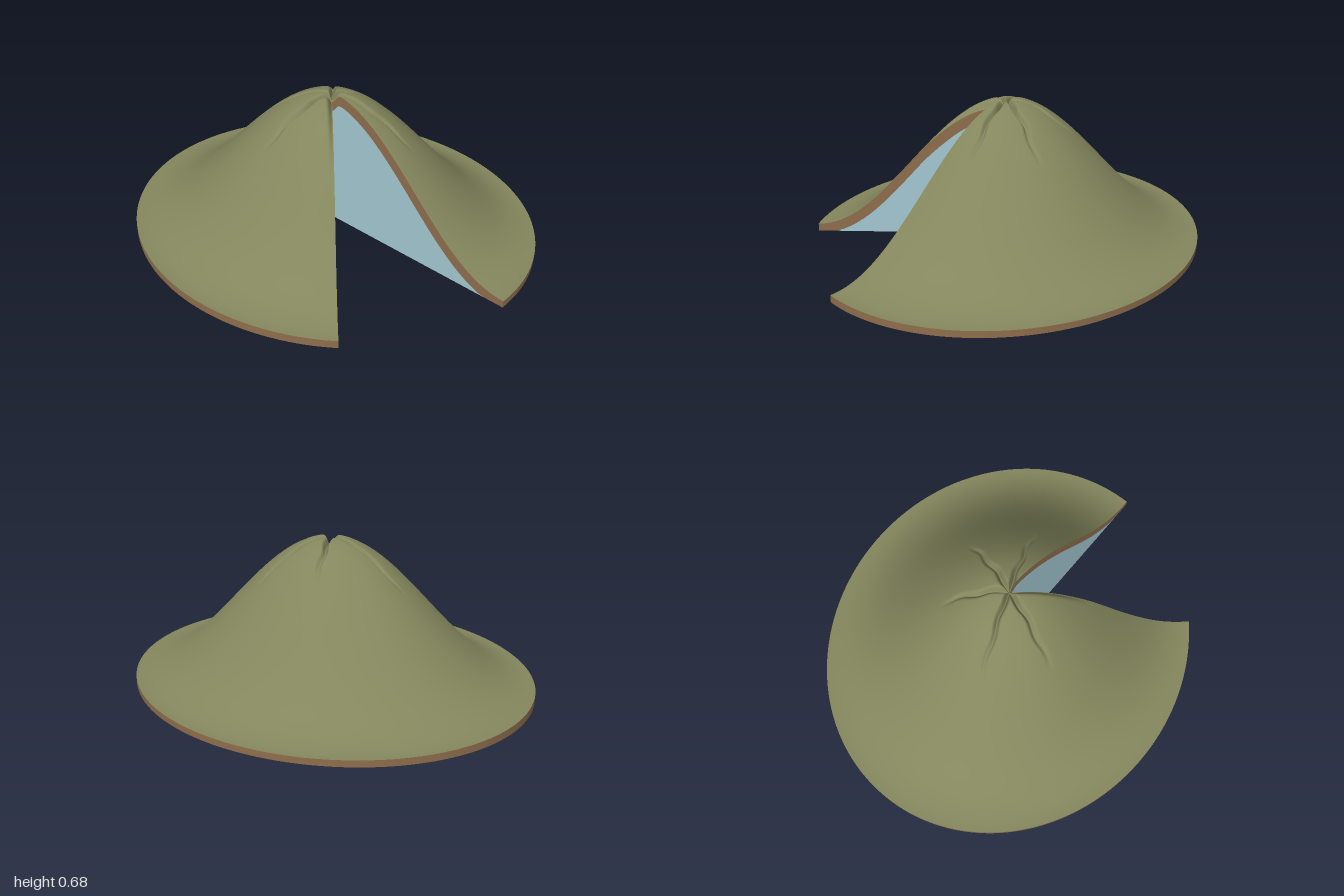
import * as THREE from 'three';

const RZ = 0.89;                     // depth of the oval base (half width is 1)
const CUT_A = 0.176, CUT_B = 1.003;  // the open wedge lies between these angles
const RIM = 0.033;

// Summit cracks: angle, length, depth, half width
const CRACKS = [
  [-1.12, 0.4, 0.05, 0.011], [-2.08, 0.34, 0.045, 0.011], [-0.24, 0.4, 0.05, 0.011],
  [2.93, 0.4, 0.05, 0.011], [2.0, 0.4, 0.05, 0.011], [CUT_B, 0.42, 0.05, 0.016],
];

function crackDepth(r, t) {
  let deepest = 0;
  CRACKS.forEach(([angle, length, depth, width], i) => {
    const wobble = 0.006 * Math.sin(r * 38 + i * 2) * Math.min(1, r * 8);
    const along = r * Math.cos(t - angle);
    const across = r * Math.sin(t - angle) + (i < 5 ? wobble : 0);
    if (along < 0 || along > length) return;
    const d = depth * (1 - along / length) * Math.exp(-((across / width) ** 2));
    deepest = Math.max(deepest, d);
  });
  return deepest;
}

// Height of the ground over the mound
function ground(r, t) {
  const rim = RIM + 0.005 * r * Math.sin(t);
  return rim + 0.65 * 0.5 * (1 + Math.cos(Math.PI * r)) - crackDepth(r, t);
}

// Height of the ice core under the soil cover
const iceTop = (r, t) => Math.max(0, ground(r, t) - 0.045 - 0.02 * Math.sin(Math.PI * r));

const polar = (r, t, y) => [r * Math.cos(t), y, RZ * r * Math.sin(t)];
const sweep = (u) => CUT_B + u * (2 * Math.PI + CUT_A - CUT_B);

// Grid surface; its front is on the side of dP/du x dP/dv
function grid(fn, nu, nv) {
  const pos = [], index = [];
  for (let i = 0; i <= nu; i++) {
    for (let j = 0; j <= nv; j++) pos.push(...fn(i / nu, j / nv));
  }
  for (let i = 0; i < nu; i++) {
    for (let j = 0; j < nv; j++) {
      const a = i * (nv + 1) + j, b = a + nv + 1;
      index.push(a, b, a + 1, b, b + 1, a + 1);
    }
  }
  const g = new THREE.BufferGeometry();
  g.setAttribute('position', new THREE.Float32BufferAttribute(pos, 3));
  g.setIndex(index);
  g.computeVertexNormals();
  return g;
}

export function createModel() {
  const grass = new THREE.MeshStandardMaterial({ color: 0x84875d });
  grass.name = 'tundra green';
  const soil = new THREE.MeshStandardMaterial({ color: 0x8f6e4d });
  soil.name = 'soil brown';
  const ice = new THREE.MeshStandardMaterial({ color: 0xa5c9d3 });
  ice.name = 'ice blue';

  const model = new THREE.Group();
  model.name = 'iceCoredMound';
  const add = (name, geometry, material, parent = model) => {
    const mesh = new THREE.Mesh(geometry, material);
    mesh.name = name;
    parent.add(mesh);
  };

  // Cracked grassy top
  add('moundSurface', grid((u, v) => {
    const t = sweep(u), r = v ** 1.3;
    return polar(r, t, ground(r, t));
  }, 420, 80), grass);

  // Soil edge and underside
  add('rim', grid((u, v) => {
    const t = sweep(u);
    return polar(1, t, ground(1, t) * (1 - v));
  }, 180, 1), soil);
  add('underside', grid((u, v) => polar(1 - v, sweep(u), 0), 180, 1), soil);

  // Two cut faces: ice core with a soil band above it
  [['rightCut', CUT_A, false], ['leftCut', CUT_B, true]].forEach(([name, t, flip]) => {
    const face = new THREE.Group();
    face.name = name;
    const section = (low, high) => grid((u, v) => {
      const r = u ** 1.3, k = flip ? 1 - v : v;
      return polar(r, t, low(r, t) * (1 - k) + high(r, t) * k);
    }, 80, 1);
    add('iceCore', section(() => 0, iceTop), ice, face);
    add('soilBand', section(iceTop, ground), soil, face);
    model.add(face);
  });

  return model;
}
